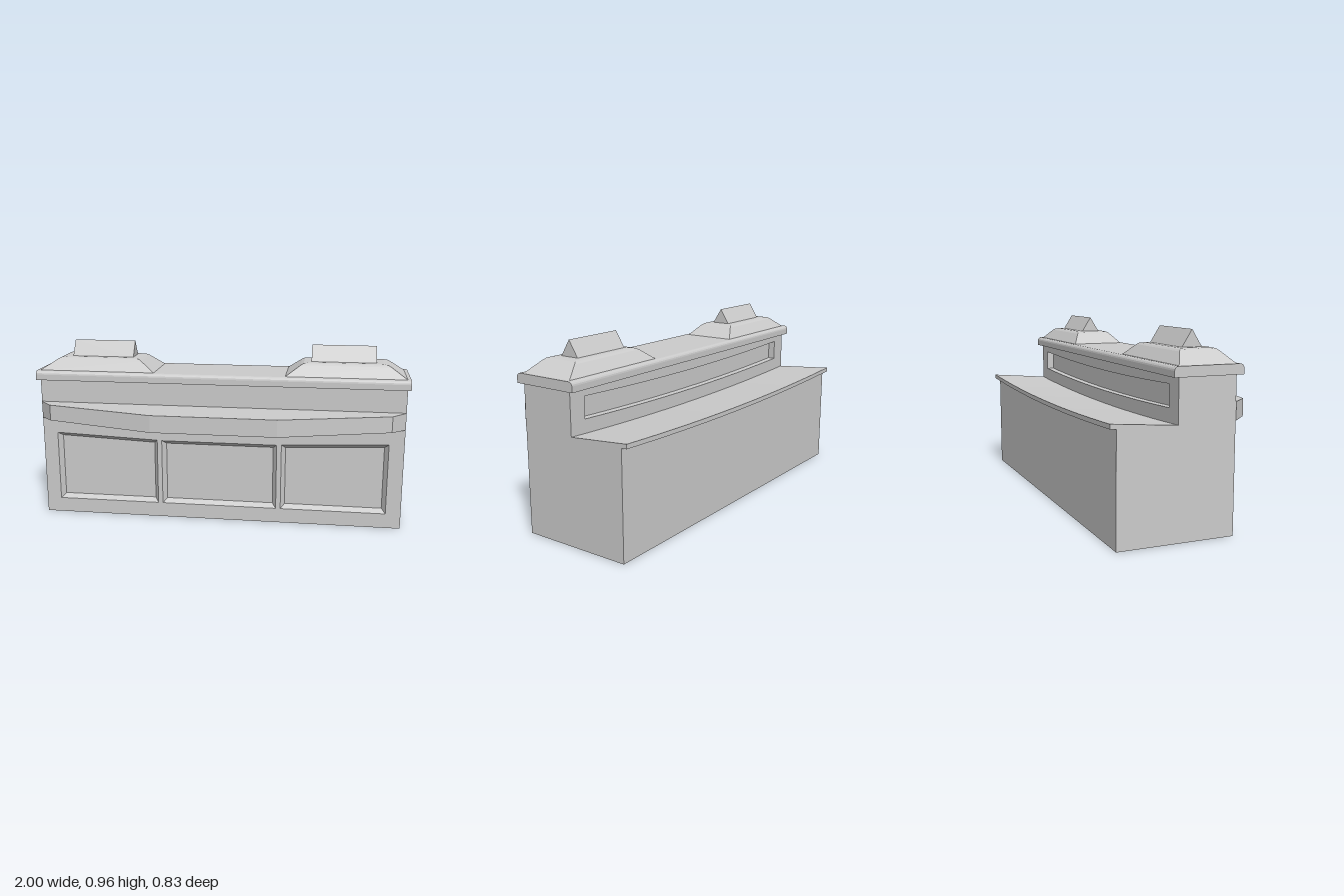
import * as THREE from 'three';

const material = new THREE.MeshStandardMaterial({ color: 0xcccccc, flatShading: true });

// Skin a row of convex rings, each counter-clockwise seen from the far end
function loft(rings, caps = true) {
  const pos = [];
  const tri = (a, b, c) => pos.push(...a, ...b, ...c);
  const n = rings[0].length;
  for (let r = 0; r < rings.length - 1; r++) {
    const a = rings[r], b = rings[r + 1];
    for (let i = 0; i < n; i++) {
      const j = (i + 1) % n;
      tri(a[i], a[j], b[j]);
      tri(a[i], b[j], b[i]);
    }
  }
  if (caps) {
    const first = rings[0], last = rings[rings.length - 1];
    for (let i = 1; i < n - 1; i++) {
      tri(first[0], first[i + 1], first[i]);
      tri(last[0], last[i], last[i + 1]);
    }
  }
  const g = new THREE.BufferGeometry();
  g.setAttribute('position', new THREE.Float32BufferAttribute(pos, 3));
  g.computeVertexNormals();
  return g;
}

// Slab in the xy plane with holes, from z0 to z1
function slab(outline, holes, z0, z1) {
  const v = (pts) => pts.map(([x, y]) => new THREE.Vector2(x, y));
  const shape = new THREE.Shape(v(outline));
  holes.forEach((h) => shape.holes.push(new THREE.Path(v(h))));
  const g = new THREE.ExtrudeGeometry(shape, { depth: z1 - z0, bevelEnabled: false });
  return g.translate(0, 0, z0);
}

const rect = (x0, x1, y0, y1) => [[x0, y0], [x1, y0], [x1, y1], [x0, y1]];

export function createModel() {
  const group = new THREE.Group();
  const add = (name, geometry) => {
    const mesh = new THREE.Mesh(geometry, material);
    mesh.name = name;
    group.add(mesh);
    return mesh;
  };
  const box = (name, x, y0, y1, z0, z1) =>
    add(name, new THREE.BoxGeometry(2 * x, y1 - y0, z1 - z0).translate(0, (y0 + y1) / 2, (z0 + z1) / 2));

  const W = 0.985;
  const sag = (x) => 0.025 * (1 - (x / W) ** 2);

  // Core of the tall front part
  box('core', W, 0, 0.77, -0.045, 0.18);

  // Front with three sunken panels whose top edges dip toward the middle
  const panels = [
    [[-0.905, 0.08], [-0.34, 0.08], [-0.34, 0.442], [-0.905, 0.465]],
    [[-0.315, 0.08], [0.315, 0.08], [0.315, 0.44], [-0.315, 0.44]],
    [[0.34, 0.08], [0.905, 0.08], [0.905, 0.465], [0.34, 0.442]],
  ];
  add('frontFrame', slab(rect(-W, W, 0, 0.77), panels, 0.18, 0.21));
  panels.forEach((p) => {
    const b = 0.021;
    const inner = p.map(([x, y], i) => [
      x + (i === 0 || i === 3 ? b : -b), y + (i < 2 ? b : -b), 0.181]);
    add('panelBevel', loft([p.map(([x, y]) => [x, y, 0.21]), inner], false));
  });

  // Rear face of the tall part with a long sagging slot
  const slot = [];
  for (let i = 0; i <= 12; i++) {
    const x = -0.89 + (1.78 * i) / 12;
    slot.push([x, 0.62 - sag(x)]);
  }
  for (let i = 12; i >= 0; i--) {
    const x = -0.89 + (1.78 * i) / 12;
    slot.push([x, 0.73 - sag(x)]);
  }
  add('rearFrame', slab(rect(-W, W, 0.45, 0.77), [slot], -0.085, -0.045));

  // Low rear cabinet and its sloping, sagging worktop
  const workY = (x, z) => 0.55 + (-0.085 - z) * 0.085 - sag(x);
  const bend = (g, move) => {
    const p = g.attributes.position;
    for (let i = 0; i < p.count; i++) p.setY(i, move(p.getX(i), p.getY(i), p.getZ(i)));
    g.computeVertexNormals();
    return g;
  };
  const cabinet = new THREE.BoxGeometry(2 * W, 1, 0.34, 16, 1, 1).translate(0, 0.5, -0.215);
  add('rearCabinet', bend(cabinet, (x, y, z) => (y > 0.5 ? workY(x, z) - 0.015 : 0)));
  const top = new THREE.BoxGeometry(2 * W, 1, 0.335, 16, 1, 1).translate(0, 0, -0.2475);
  add('worktop', bend(top, (x, y, z) => workY(x, z) - (y > 0 ? 0 : 0.023)));

  // Front shelf: [x, front z, top y, front bottom y, back bottom y]
  const shelf = [
    [-W, 0.212, 0.64, 0.55, 0.55],
    [-0.91, 0.295, 0.64, 0.555, 0.549],
    [-0.33, 0.415, 0.632, 0.54, 0.525],
  ];
  const mirrored = shelf.map(([x, ...rest]) => [-x, ...rest]).reverse();
  add('frontShelf', loft([...shelf, ...mirrored].map(([x, z, t, bf, bb]) => [
    [x, bf, z], [x, bb, 0.2], [x, 0.64, 0.2], [x, t, z]])));

  // Overhanging cap with rounded long edges
  const capProfile = [];
  [[0.24, 1], [-0.115, -1]].forEach(([z, s]) => {
    const edge = [[z, 0.765]];
    for (let i = 0; i <= 4; i++) {
      const a = (i / 4) * Math.PI / 2;
      edge.push([z - s * 0.02 * (1 - Math.cos(a)), 0.795 + 0.02 * Math.sin(a)]);
    }
    capProfile.push(...(s > 0 ? edge.reverse() : edge));
  });
  add('cap', loft([-1, 1].map((x) => capProfile.map(([z, y]) => [x, y, z]))));

  // Hipped mound with a triangular ridge block near each end
  const hip = (x0, x1, z0, z1, y) => [[x0, y, z1], [x1, y, z1], [x1, y, z0], [x0, y, z0]];
  for (const s of [-1, 1]) {
    const span = (a, b) => (s > 0 ? [a, b] : [-b, -a]);
    add('mound', loft([
      hip(...span(0.35, 0.985), -0.085, 0.21, 0.813),
      hip(...span(0.43, 0.9), -0.04, 0.165, 0.87),
      hip(...span(0.445, 0.885), -0.03, 0.155, 0.878),
      hip(...span(0.475, 0.86), -0.015, 0.14, 0.882),
    ]));
    add('ridgeBlock', loft(span(0.485, 0.825).map((x) => [
      [x, 0.88, 0.117], [x, 0.88, 0.01], [x, 0.965, 0.064]])));
  }
  return group;
}
